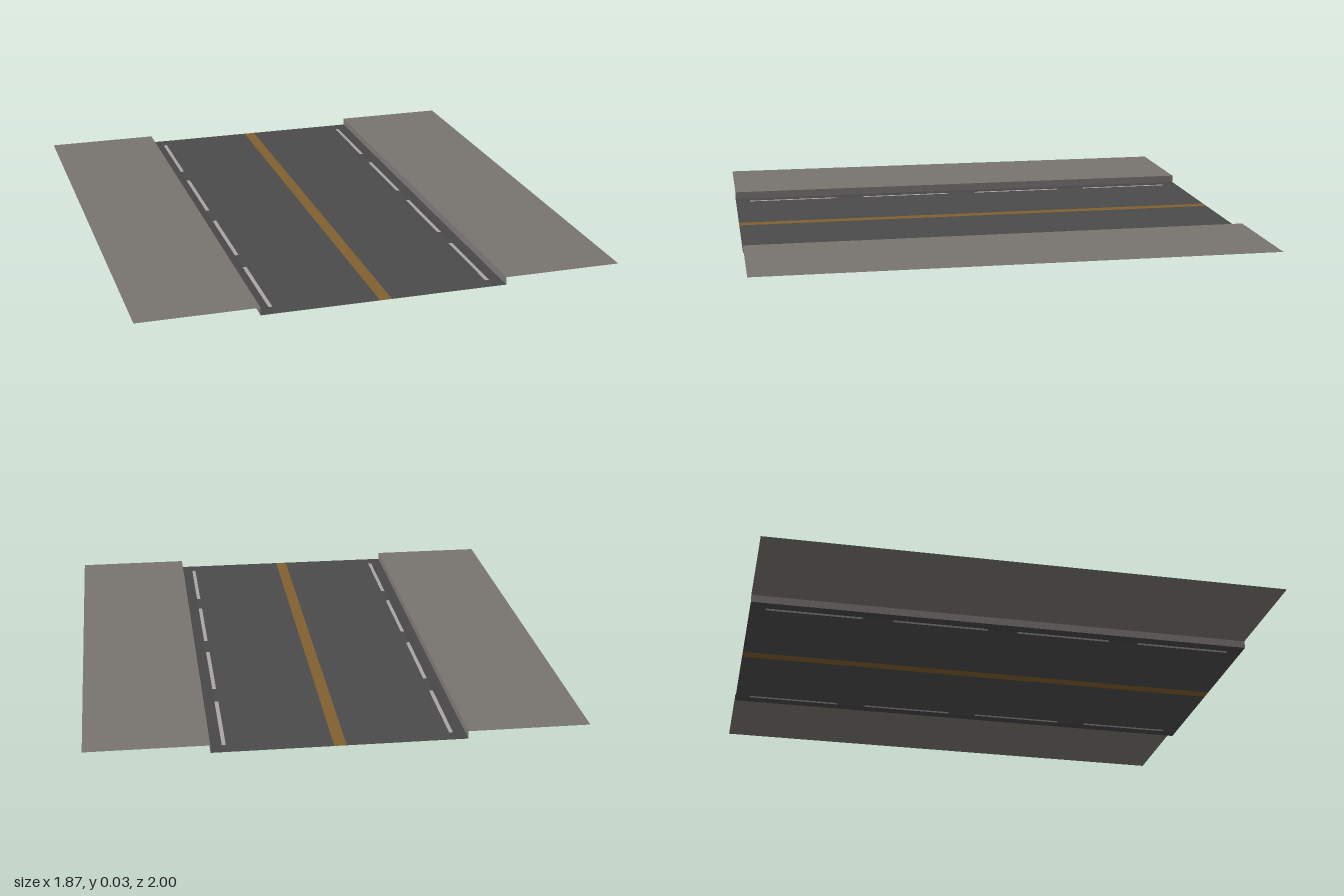
import * as THREE from 'three';

const mat = (name, color) => {
  const m = new THREE.MeshStandardMaterial({ color, side: THREE.DoubleSide });
  m.name = name;
  return m;
};

export function createModel() {
  const asphalt = mat('asphalt', 0x4b4b4b);
  const gutterGrey = mat('gutterGrey', 0x474747);
  const concrete = mat('concrete', 0x787570);
  const curbGrey = mat('curbGrey', 0x7a7675);
  const ochre = mat('ochrePaint', 0x80602f);
  const white = mat('whitePaint', 0xaaa5a1);

  const road = new THREE.Group();
  road.name = 'roadSection';

  // Flat horizontal panel facing up, spanning x0..x1 and z0..z1
  function panel(name, material, x0, x1, z0 = -1, z1 = 1, y = 0) {
    const geo = new THREE.PlaneGeometry(Math.abs(x1 - x0), z1 - z0).rotateX(-Math.PI / 2);
    const mesh = new THREE.Mesh(geo, material);
    mesh.name = name;
    mesh.position.set((x0 + x1) / 2, y, (z0 + z1) / 2);
    road.add(mesh);
  }

  const line = 0.023, dashIn = 0.415, dashOut = 0.43, curbX = 0.475, edge = 0.935, height = 0.03;

  // Centre line inlaid between the two lanes
  panel('centreLine', ochre, -line, line);

  for (const s of [-1, 1]) {
    const side = s > 0 ? 'left' : 'right';
    panel(side + 'Lane', asphalt, s * line, s * dashIn);
    panel(side + 'Gutter', gutterGrey, s * dashOut, s * curbX);
    panel(side + 'Sidewalk', concrete, s * curbX, s * edge, -1, 1, height);

    // Dashed edge line with asphalt gaps between the dashes
    for (let i = 0; i < 4; i++) {
      const z = -0.75 + i * 0.5;
      panel(side + 'EdgeDash', white, s * dashIn, s * dashOut, z - 0.19, z + 0.19);
      panel(side + 'EdgeGap', asphalt, s * dashIn, s * dashOut, z - 0.25, z - 0.19);
      panel(side + 'EdgeGap', asphalt, s * dashIn, s * dashOut, z + 0.19, z + 0.25);
    }

    // Upright curb face, turned towards the road
    const curb = new THREE.Mesh(new THREE.PlaneGeometry(2, height), curbGrey);
    curb.name = side + 'Curb';
    curb.rotation.y = -s * Math.PI / 2;
    curb.position.set(s * curbX, height / 2, 0);
    road.add(curb);
  }
  return road;
}
